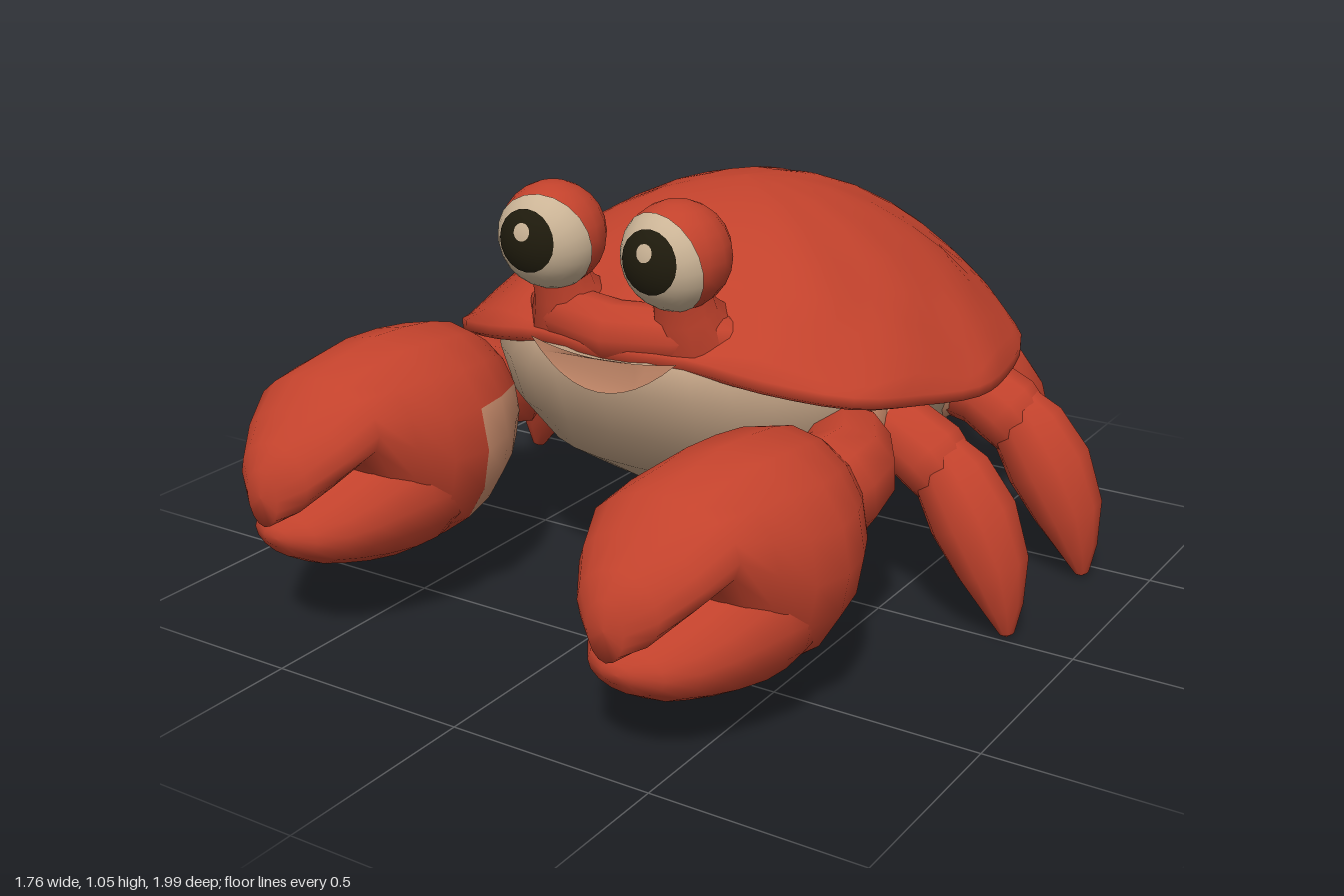
import * as THREE from 'three';

const mat = (name, color, side = THREE.FrontSide) => {
  const m = new THREE.MeshStandardMaterial({ color, side });
  m.name = name;
  return m;
};
const V = (x, y, z) => new THREE.Vector3(x, y, z);

// Skin a list of closed rings (all with the same number of points)
function loft(rings) {
  const n = rings[0].length, pos = [], index = [];
  rings.forEach(r => r.forEach(p => pos.push(p.x, p.y, p.z)));
  for (let i = 0; i < rings.length - 1; i++) {
    for (let j = 0; j < n; j++) {
      const k = (j + 1) % n, a = i * n + j, b = i * n + k;
      index.push(a, a + n, b, b, a + n, b + n);
    }
  }
  const g = new THREE.BufferGeometry();
  g.setAttribute('position', new THREE.Float32BufferAttribute(pos, 3));
  g.setIndex(index);
  g.computeVertexNormals();
  return g;
}

// Sort triangles into two material groups by their centre
function paint(g, test) {
  const p = g.attributes.position, idx = g.index.array, lists = [[], []], c = V(0, 0, 0), q = V(0, 0, 0);
  for (let i = 0; i < idx.length; i += 3) {
    c.set(0, 0, 0);
    for (let k = 0; k < 3; k++) c.add(q.fromBufferAttribute(p, idx[i + k]));
    lists[test(c.divideScalar(3)) ? 1 : 0].push(idx[i], idx[i + 1], idx[i + 2]);
  }
  g.setIndex([...lists[0], ...lists[1]]);
  g.addGroup(0, lists[0].length, 0);
  g.addGroup(lists[0].length, lists[1].length, 1);
  return g;
}

// Rounded limb through [x, y, z, radius] stations
function limb(stations, sides = 10) {
  const pts = stations.map(s => V(s[0], s[1], s[2]));
  const all = stations.map((s, i) => {
    const d = pts[Math.min(i + 1, pts.length - 1)].clone().sub(pts[Math.max(i - 1, 0)]).normalize();
    const ref = Math.abs(d.z) > 0.8 ? V(0, 1, 0) : V(0, 0, 1);
    const u = ref.addScaledVector(d, -ref.dot(d)).normalize(), v = u.clone().cross(d);
    return Array.from({ length: sides }, (_, j) => {
      const a = j / sides * Math.PI * 2;
      return pts[i].clone().addScaledVector(u, s[3] * Math.cos(a)).addScaledVector(v, s[3] * Math.sin(a));
    });
  });
  return loft(all);
}

// Claw sections [z, half width, bottom, top]; the tip leans sideways
const clawLoft = (sections, s, lean, dy, dz) => loft(sections.map(([z, w, b, t]) =>
  Array.from({ length: 16 }, (_, j) => {
    const a = j / 16 * Math.PI * 2, cx = s * (.485 + lean * Math.max(0, z - .55));
    return V(cx + w * Math.sin(a), (b + t) / 2 + (t - b) / 2 * Math.cos(a) + dy, z + dz);
  })));

export function createModel() {
  const red = mat('shell red', 0xc2422c), tan = mat('belly tan', 0xbfa083);
  const white = mat('eye cream', 0xcbb496), dark = mat('pupil black', 0x1f1b0d);
  const peach = mat('mouth peach', 0xc98c6c, THREE.DoubleSide);
  const model = new THREE.Group();
  const add = (name, g, m, parent = model) => {
    const mesh = new THREE.Mesh(g, m);
    mesh.name = name;
    parent.add(mesh);
    return mesh;
  };

  // Domed shell lofted from its wavy rim outline
  const half = [[0, .7, .43], [.2, .7, .4], [.38, .67, .36], [.55, .63, .25], [.62, .59, .05], [.67, .56, -.15],
    [.65, .545, -.35], [.58, .55, -.6], [.43, .57, -.77], [.3, .585, -.92], [.13, .59, -.96], [0, .59, -.94]];
  const outline = [...half, ...half.slice(1, -1).reverse().map(([x, y, z]) => [-x, y, z])];
  const rim = new THREE.CatmullRomCurve3(outline.map(p => V(...p)), true).getPoints(66).slice(0, 66);
  const shellRing = (t, drop) => rim.map((p, j) => {
    const ripple = t > .8 && t < .97 && drop === 0 ? .014 * Math.cos(j / 66 * Math.PI * 2 * 11) : 0;
    return V(p.x * t, p.y + (.97 - p.y) * (1 - t ** 2) - drop + ripple, -.2 + (p.z + .2) * t);
  });
  const steps = [[0, 0], [.15, 0], [.3, 0], [.45, 0], [.6, 0], [.72, 0], [.82, 0], [.9, 0], [.965, 0],
    [1, .005], [1, .03], [.97, .06], [.9, .1], [.7, .2]];
  add('shell', loft(steps.map(s => shellRing(...s))), red);

  // Belly: rounded tub of [y, half width, front z, back z] levels
  const levels = [[.72, .38, .38, -.68], [.67, .48, .43, -.8], [.6, .55, .44, -.87], [.48, .53, .4, -.87], [.36, .48, .3, -.83],
    [.27, .4, .16, -.77], [.225, .29, .0, -.66], [.21, .15, -.18, -.5], [.208, 0, -.34, -.34]];
  const sp = v => Math.sign(v) * Math.abs(v) ** .82;
  add('belly', loft(levels.map(([y, w, f, b]) => Array.from({ length: 36 }, (_, j) => {
    const a = j / 36 * Math.PI * 2;
    return V(w * sp(Math.sin(a)), y, (f + b) / 2 + (f - b) / 2 * sp(Math.cos(a)));
  }))), tan);

  // Upper lip across the front and the smiling mouth below it
  add('upperLip', limb([[-.29, .72, .25, 0], [-.25, .725, .29, .05], [-.15, .725, .345, .07], [0, .715, .37, .075],
    [.15, .725, .345, .07], [.25, .725, .29, .05], [.29, .72, .25, 0]]), red);
  const smile = new THREE.Shape();
  smile.moveTo(-.2, .69);
  smile.quadraticCurveTo(0, .5, .2, .69);
  smile.quadraticCurveTo(0, .66, -.2, .69);
  const mouth = new THREE.ShapeGeometry(smile, 12), mp = mouth.attributes.position;
  for (let i = 0; i < mp.count; i++) mp.setZ(i, .452 - .55 * mp.getX(i) ** 2);
  mouth.computeVertexNormals();
  add('mouth', mouth, peach);

  const upperJaw = [[.28, 0, .38, .38], [.3, .11, .27, .5], [.35, .155, .21, .56], [.41, .19, .16, .6], [.48, .22, .13, .62],
    [.57, .237, .107, .63], [.66, .228, .108, .628], [.75, .21, .23, .605], [.83, .182, .365, .57], [.9, .148, .32, .51],
    [.96, .1, .275, .45], [.995, .045, .26, .4], [1, 0, .33, .33]];
  const lowerJaw = [[.5, 0, .25, .25], [.58, .185, .125, .4], [.65, .212, .106, .45], [.71, .212, .1, .46], [.78, .196, .11, .42],
    [.84, .172, .125, .37], [.89, .14, .14, .325], [.94, .095, .17, .275], [.965, .04, .2, .245], [.967, 0, .22, .22]];
  const legs = [['front', .48, -.03, 1, .02, 1], ['middle', .5, -.4, 1, -.1, 1], ['rear', .33, -.655, .45, -.89, .88]];

  for (const s of [1, -1]) {
    const side = s > 0 ? 'left' : 'right';

    // Eye on a stalk, with lid, cream front, pupil and glint
    add(side + 'EyeStalk', limb([[s * .16, .66, .26, .13], [s * .163, .74, .315, .105], [s * .166, .79, .34, .075],
      [s * .168, .86, .365, .065]]), red);
    const eye = new THREE.Group();
    eye.name = side + 'Eye';
    eye.position.set(s * .169, .926, .375);
    model.add(eye);
    const cap = (name, r, angle, tilt, turn, m) => add(name, new THREE.SphereGeometry(r, 20, 8, 0, Math.PI * 2, 0, angle)
      .rotateX(Math.PI / 2 + tilt).rotateY(-s * turn), m, eye);
    add('eyeball', new THREE.SphereGeometry(.124, 16, 12), red, eye);
    cap('eyeFront', .127, 1.2, .2, .18, white);
    cap('pupil', .129, .6, -.06, .04, dark);
    cap('glint', .131, .16, -.24, .04, white);

    // Arm and pincer; the right claw is held a little higher and has a pale inner patch
    const dy = s > 0 ? 0 : .06, dz = s > 0 ? 0 : -.035, lean = s > 0 ? -.2 : .17;
    add(side + 'ArmSocket', limb([[s * .38, .49, 0, .1], [s * .43, .48, .07, .115], [s * .45, .47, .1, .09]]), peach);
    add(side + 'Arm', limb([[s * .4, .46, .05, .09], [s * .46, .45, .13, .115], [s * .51, .43 + dy / 2, .21, .12],
      [s * .515, .42 + dy, .3, .13], [s * .5, .4 + dy, .42, .12]]), red);
    const palm = paint(clawLoft(upperJaw, s, lean, dy, dz),
      c => s < 0 && c.x > -.4 && c.z < .52 && c.y < .54 && c.y > .27);
    add(side + 'ClawUpper', palm, [red, peach]);
    add(side + 'ClawLower', clawLoft(lowerJaw, s, lean, dy, dz), red);

    // Walking legs: stations [reach, height, radius] along each leg's heading
    for (const [name, x, z, dx, dzl, k] of legs) {
      const along = list => limb(list.map(([d, y, r]) => [s * (x + d * dx), y, z + d * dzl, r * k]));
      const n = side + name[0].toUpperCase() + name.slice(1);
      add(n + 'Socket', along([[-.1, .48, .12], [-.01, .475, .11], [.03, .465, .08]]), peach);
      add(n + 'Thigh', along([[-.04, .47, .085], [.06, .45, .09], [.13, .41, .095], [.18, .36, .085], [.21, .31, 0]]), red);
      add(n + 'Shin', along([[.12, .45, 0], [.14, .435, .06], [.185, .375, .095], [.245, .28, .107], [.3, .17, .088],
        [.33, .075, .05], [.345, .01, .018], [.345, 0, 0]]), red);
    }
  }
  return model;
}
